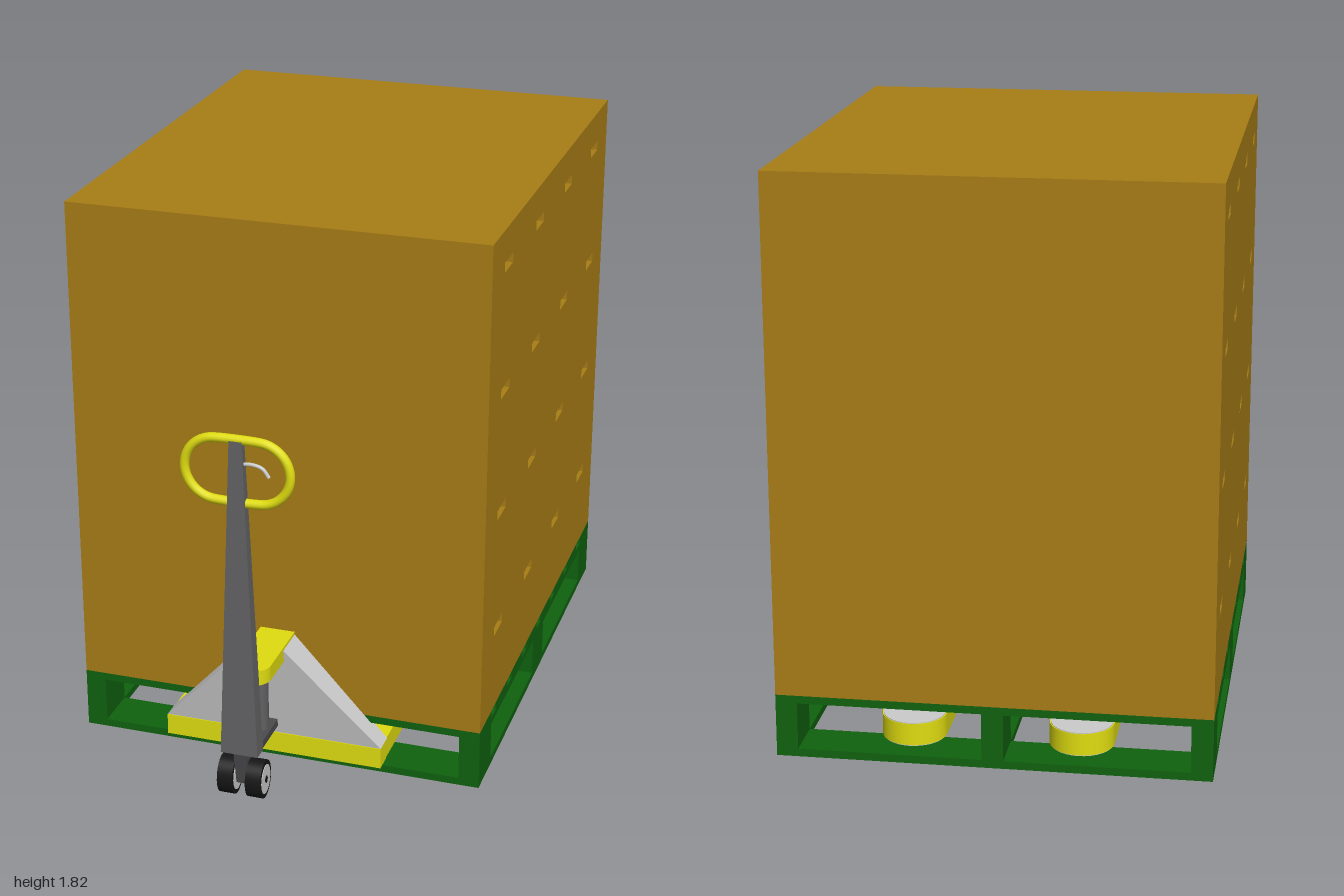
import * as THREE from 'three';

const mat = (color) => new THREE.MeshStandardMaterial({ color });
const CARDBOARD = mat(0xa87d16), GREEN = mat(0x0f620f), YELLOW = mat(0xe0dd10);
const STEEL = mat(0x636365), DARK = mat(0x4c4c4e), BLACK = mat(0x161616), GREY = mat(0xcccccc);

function add(parent, name, geometry, material, x = 0, y = 0, z = 0) {
  const mesh = new THREE.Mesh(geometry, material);
  mesh.name = name;
  mesh.position.set(x, y, z);
  parent.add(mesh);
  return mesh;
}

// Box given by its limits on each axis
function block(parent, name, material, [x0, x1], [y0, y1], [z0, z1]) {
  return add(parent, name, new THREE.BoxGeometry(x1 - x0, y1 - y0, z1 - z0), material,
    (x0 + x1) / 2, (y0 + y1) / 2, (z0 + z1) / 2);
}

function polygon(points) {
  return new THREE.Shape(points.map(([x, y]) => new THREE.Vector2(x, y)));
}

const extrude = (shape, depth) =>
  new THREE.ExtrudeGeometry(shape, { depth, bevelEnabled: false, curveSegments: 20 });

const BACK = -1, FRONT = 0.615, HALF = 0.67;

function buildLoad() {
  const load = new THREE.Group();
  load.name = 'cartonLoad';
  const y0 = 0.2, y1 = 1.82, skin = 0.03;
  block(load, 'cartonStack', CARDBOARD, [-HALF + skin, HALF - skin], [y0, y1], [BACK, FRONT]);

  // Side walls with a hand slot for every carton
  const wall = polygon([[BACK, y0], [FRONT, y0], [FRONT, y1], [BACK, y1]]);
  const stepZ = (FRONT - BACK) / 4, stepY = (y1 - y0) / 4;
  for (let i = 0; i < 4; i++) {
    for (let j = 0; j < 4; j++) {
      const z = BACK + (i + 0.5) * stepZ, y = y0 + j * stepY + 0.285;
      wall.holes.push(polygon([[z - 0.052, y - 0.016], [z - 0.052, y + 0.016],
        [z + 0.052, y + 0.016], [z + 0.052, y - 0.016]]));
    }
  }
  const wallGeometry = extrude(wall, skin).rotateY(-Math.PI / 2);
  add(load, 'leftCartonWall', wallGeometry, CARDBOARD, HALF);
  add(load, 'rightCartonWall', wallGeometry, CARDBOARD, -HALF + skin);
  return load;
}

function buildPallet() {
  const pallet = new THREE.Group();
  pallet.name = 'pallet';
  const board = 0.15, w = 0.067;

  // Top deck boards
  const pitch = (FRONT - BACK - board) / 7;
  for (let i = 0; i < 8; i++) {
    const z = BACK + i * pitch;
    block(pallet, 'deckBoard', GREEN, [-HALF, HALF], [0.175, 0.2], [z, z + board]);
  }
  // Stringers, bottom runners and spacer blocks
  for (const x of [-HALF + w / 2, 0, HALF - w / 2]) {
    const span = [x - w / 2, x + w / 2];
    block(pallet, 'stringer', GREEN, span, [0.15, 0.175], [BACK, FRONT]);
    block(pallet, 'bottomRunner', GREEN, span, [0, 0.025], [BACK + board, FRONT - board]);
    for (const z of [BACK, (BACK + FRONT - board) / 2, FRONT - board]) {
      block(pallet, 'spacerBlock', GREEN, span, [0.025, 0.15], [z, z + board]);
    }
  }
  // Bottom end boards
  for (const z of [BACK, FRONT - board]) {
    block(pallet, 'bottomEndBoard', GREEN, [-HALF, HALF], [0, 0.025], [z, z + board]);
  }
  return pallet;
}

function buildTruck() {
  const truck = new THREE.Group();
  truck.name = 'palletTruck';

  // Forks with round tips
  for (const side of [-1, 1]) {
    const x = side * 0.26;
    block(truck, 'fork', YELLOW, [x - 0.1, x + 0.1], [0.05, 0.12], [-0.88, 0.62]);
    add(truck, 'forkTip', new THREE.CylinderGeometry(0.1, 0.1, 0.07, 32), YELLOW, x, 0.085, -0.88);
    add(truck, 'forkTipCap', new THREE.CylinderGeometry(0.096, 0.096, 0.076, 32), GREY, x, 0.085, -0.882);
  }
  block(truck, 'forkBridge', YELLOW, [-0.362, 0.362], [0.05, 0.12], [0.61, 0.675]);

  // Tapered body whose front leans forward towards the top
  const body = extrude(polygon([[-0.362, 0.12], [0.362, 0.12], [0.05, 0.46], [-0.05, 0.46]]), 1);
  const p = body.attributes.position;
  for (let i = 0; i < p.count; i++) {
    p.setZ(i, p.getZ(i) > 0.5 ? 0.672 + (p.getY(i) - 0.12) * 0.17 : 0.6);
  }
  body.computeVertexNormals();
  add(truck, 'body', body, GREY);

  // Neck arm with a round front end
  const neck = new THREE.Shape();
  neck.moveTo(-0.057, 0.6);
  neck.lineTo(0.057, 0.6);
  neck.lineTo(0.057, 0.843);
  neck.absarc(0, 0.843, 0.057, 0, Math.PI, false);
  neck.closePath();
  add(truck, 'neck', extrude(neck, 0.05).rotateX(Math.PI / 2), YELLOW, 0, 0.462, 0);

  // Pump and its foot
  add(truck, 'pump', new THREE.CylinderGeometry(0.046, 0.046, 0.18, 32), STEEL, 0, 0.325, 0.846);
  block(truck, 'pumpFoot', DARK, [-0.057, 0.057], [0.215, 0.24], [0.787, 0.985]);
  const bracket = polygon([[0.985, 0.22], [0.88, 0.22], [0.905, 0.14], [0.935, 0.1], [0.965, 0.1]]);
  add(truck, 'wheelBracket', extrude(bracket, 0.04).rotateY(-Math.PI / 2), DARK, 0.02);

  // Steering wheels
  for (const side of [-1, 1]) {
    const wheel = new THREE.Group();
    wheel.name = 'steeringWheel';
    wheel.position.set(side * 0.046, 0.118, 0.948);
    wheel.scale.z = 0.82;
    const disc = (r, width) => new THREE.CylinderGeometry(r, r, width, 32).rotateZ(Math.PI / 2);
    add(wheel, 'tyre', disc(0.064, 0.05), BLACK);
    add(wheel, 'hub', disc(0.049, 0.054), GREY);
    add(wheel, 'axleEnd', disc(0.012, 0.058), BLACK);
    truck.add(wheel);
  }

  // Tapered tiller shaft
  const shaft = new THREE.BoxGeometry(2, 1, 2).translate(0, 0.5, 0);
  const s = shaft.attributes.position;
  for (let i = 0; i < s.count; i++) {
    const top = s.getY(i) > 0.5;
    s.setXYZ(i, s.getX(i) * (top ? 0.02 : 0.06), top ? 1.265 : 0.215,
      0.962 + s.getZ(i) * (top ? 0.012 : 0.027));
  }
  shaft.computeVertexNormals();
  add(truck, 'tillerShaft', shaft, STEEL);

  // Oval grip
  const loop = [];
  for (const side of [1, -1]) {
    for (let i = 0; i <= 12; i++) {
      const a = -Math.PI / 2 + (Math.PI * i) / 12;
      loop.push(new THREE.Vector3(side * (0.065 + 0.1 * Math.cos(a)), 1.165 + side * 0.1 * Math.sin(a), 0.96));
    }
  }
  const gripPath = new THREE.CatmullRomCurve3(loop, true);
  add(truck, 'grip', new THREE.TubeGeometry(gripPath, 96, 0.0145, 12, true), YELLOW);

  // Release lever
  const leverPath = new THREE.CatmullRomCurve3([[0.01, 1.19], [0.05, 1.192], [0.08, 1.183], [0.1, 1.157]]
    .map(([x, y]) => new THREE.Vector3(x, y, 0.962)));
  add(truck, 'releaseLever', new THREE.TubeGeometry(leverPath, 20, 0.006, 8), GREY);
  return truck;
}

export function createModel() {
  const model = new THREE.Group();
  model.name = 'loadedPalletTruck';
  model.add(buildLoad(), buildPallet(), buildTruck());
  return model;
}
